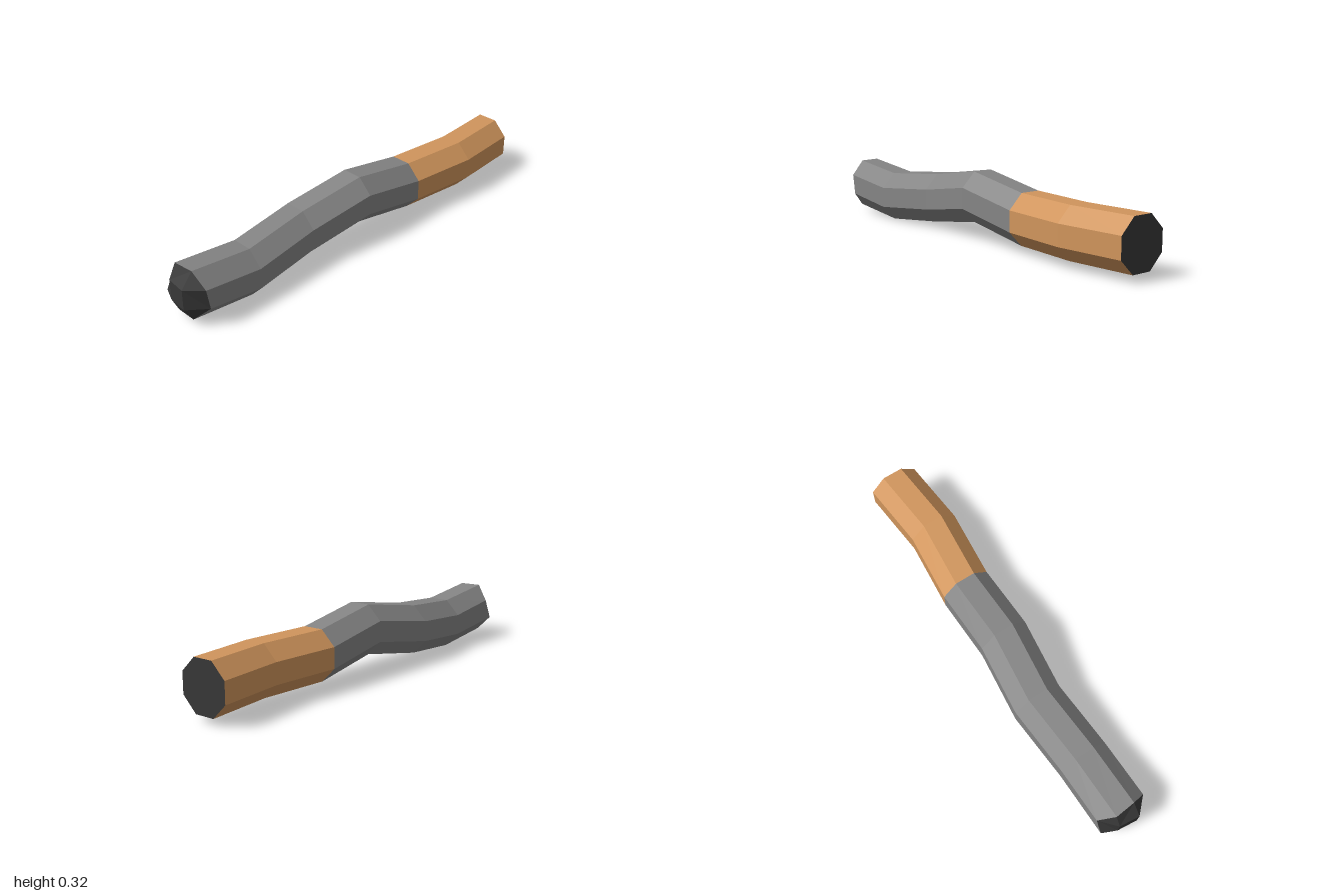
import * as THREE from 'three';

const H = 0.118, F = 0.049; // octagon half width and half flat
const OCT = [[H, -F], [H, F], [F, H], [-F, H], [-H, F], [-H, -F], [-F, -H], [F, -H]];
const INNER = [[F, -F, 1], [F, F, 1], [-F, F, 0.99], [-F, -F, 0.99]];
const RIM_Z = [0.914, 0.93, 0.945, 0.955, 0.914, 0.96, 0.957, 0.957];
const CX = -0.003, CY = 0.151;

// Octagonal ring, offset sideways by dx and upward by dy
const ring = (z, dx = 0, dy = 0) =>
  OCT.map(([x, y], i) => [CX + dx + x, CY + dy + y, Array.isArray(z) ? z[i] : z]);

// Mesh from flat polygons with outward counterclockwise corners
function polyMesh(name, polys, material) {
  const pos = [];
  for (const p of polys)
    for (let i = 1; i < p.length - 1; i++) pos.push(...p[0], ...p[i], ...p[i + 1]);
  const g = new THREE.BufferGeometry();
  g.setAttribute('position', new THREE.Float32BufferAttribute(pos, 3));
  g.computeVertexNormals();
  const mesh = new THREE.Mesh(g, material);
  mesh.name = name;
  return mesh;
}

// Walls joining successive rings, back to front
function walls(rings) {
  const polys = [];
  for (let s = 0; s < rings.length - 1; s++)
    for (let i = 0; i < 8; i++) {
      const j = (i + 1) % 8, a = rings[s], b = rings[s + 1];
      polys.push([a[i], a[j], b[j], b[i]]);
    }
  return polys;
}

export function createModel() {
  const mat = (name, color) => {
    const m = new THREE.MeshStandardMaterial({ color, flatShading: true });
    m.name = name;
    return m;
  };
  const orange = mat('orange', 0xd0955c);
  const grey = mat('grey', 0x858585);
  const dark = mat('charcoal', 0x383838);

  const back = ring(-1), joint = ring(-0.34), rim = ring(RIM_Z);
  const group = new THREE.Group();
  group.name = 'bentStick';

  // Orange grip and grey shaft
  group.add(polyMesh('grip', walls([back, ring(-0.675, 0.03), joint]), orange));
  group.add(polyMesh('shaft', walls([
    joint, ring(-0.01, 0, 0.055), ring(0.315, -0.029), ring(0.645, 0, -0.032), rim,
  ]), grey));

  // Flat back end
  group.add(polyMesh('backEnd', [[...back].reverse()], dark));

  // Faceted front tip: centre square, four sides and four corners
  const inner = INNER.map(([x, y, z]) => [CX + x, CY + y, z]);
  const tip = [inner];
  for (let k = 0; k < 4; k++) {
    const a = 2 * k, n = inner[(k + 1) % 4];
    tip.push([rim[a], rim[a + 1], n, inner[k]]);
    tip.push([rim[a + 1], rim[(a + 2) % 8], n]);
  }
  group.add(polyMesh('frontTip', tip, dark));
  return group;
}
